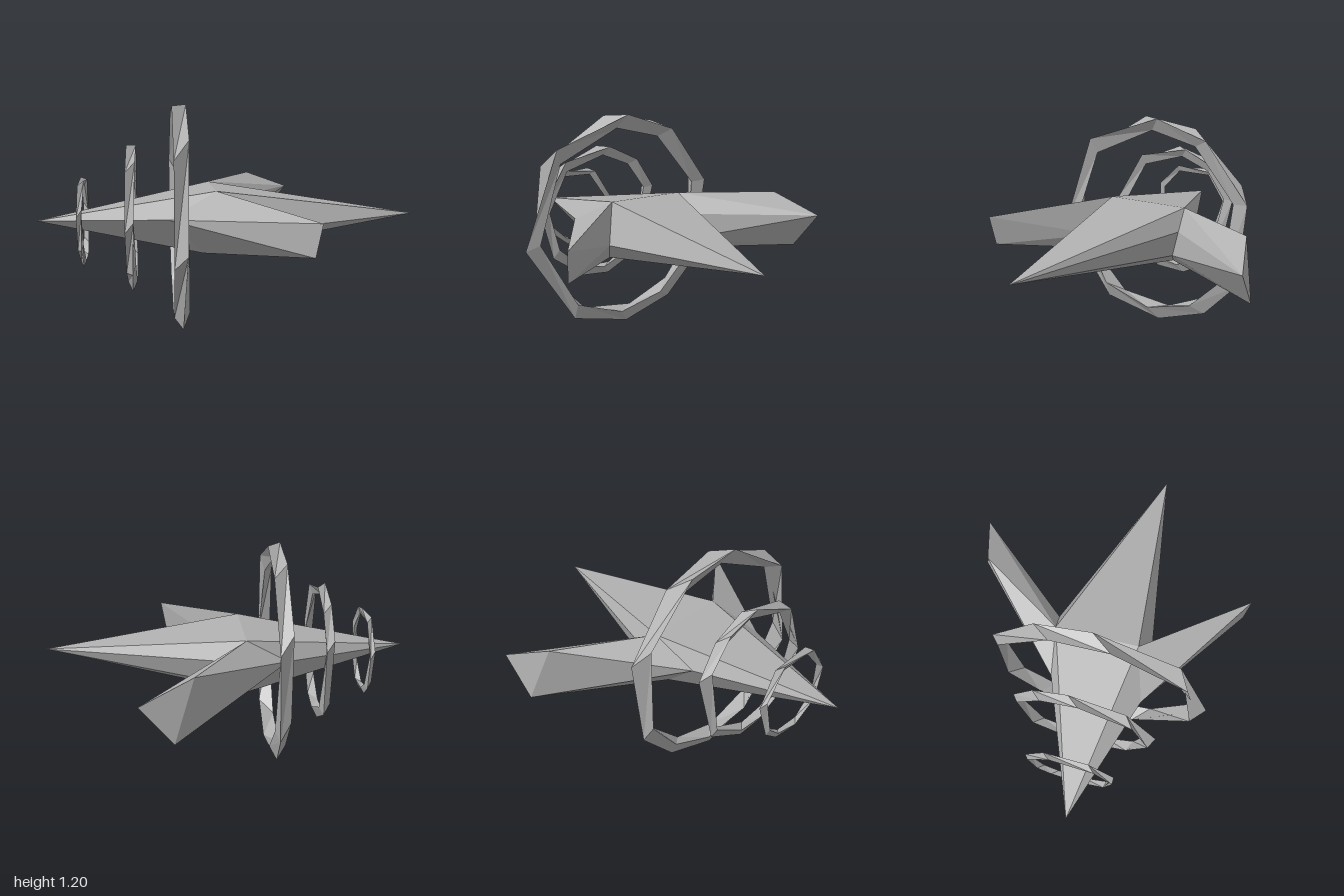
import * as THREE from 'three';

const V = (x, y, z) => new THREE.Vector3(x, y, z);
const grey = new THREE.MeshStandardMaterial({ color: 0xb0b0b0 });
grey.name = 'plainGrey';

// Adds a triangle turned away from an inner point
function addFace(out, [a, b, c], inside) {
  const n = b.clone().sub(a).cross(c.clone().sub(a));
  const mid = a.clone().add(b).add(c).divideScalar(3).sub(inside);
  out.push(...(n.dot(mid) >= 0 ? [a, b, c] : [a, c, b]));
}

// Faceted mesh from a list of loose triangle corners
function facetMesh(name, points) {
  const geo = new THREE.BufferGeometry().setFromPoints(points);
  geo.computeVertexNormals();
  const mesh = new THREE.Mesh(geo, grey);
  mesh.name = name;
  return mesh;
}

function shell(name, inside, faces) {
  const out = [];
  faces.forEach((f) => addFace(out, f, inside));
  return facetMesh(name, out);
}

// Angular hoop: a slowly twisting triangular section joined through uneven stations
function hoop(name, { x, y, z, radius, halfWidth, depth, lean, angles }) {
  const sections = angles.map((deg) => {
    const a = THREE.MathUtils.degToRad(deg);
    const twist = THREE.MathUtils.degToRad(30 + 30 * Math.sin(a));
    return [0, 1, 2].map((j) => {
      const p = twist + (j * Math.PI * 2) / 3;
      const r = radius + depth * Math.cos(p);
      const b = a - lean * Math.sin(p);
      return V(x + halfWidth * Math.sin(p), y + r * Math.sin(b), z - r * Math.cos(b));
    });
  });
  const out = [];
  sections.forEach((s, i) => {
    const t = sections[(i + 1) % sections.length];
    for (let j = 0; j < 3; j++) {
      const k = (j + 1) % 3;
      out.push(s[j], s[k], t[k], s[j], t[k], t[j]);
    }
  });
  return facetMesh(name, out);
}

export function createModel() {
  const group = new THREE.Group();
  group.name = 'spikedCraft';

  // Shared corners around the middle of the body
  const nose = V(-1, 0.61, 0.13), tail = V(1, 0.622, 0.135);
  const topF = V(-0.07, 0.77, 0.247), topB = V(-0.085, 0.763, -0.2);
  const lowF = V(-0.136, 0.443, 0.226), lowB = V(-0.1, 0.447, -0.127);
  const sideF = V(-0.32, 0.64, 0.334), sideB = V(-0.31, 0.63, -0.163);
  const rearF = V(0.005, 0.557, 0.313);
  const rearB = V(0.015, 0.656, -0.215), rearLowB = V(0, 0.512, -0.173);

  // Body: two long points meeting at the middle
  const fan = (tip, loop) => loop.slice(0, -1).map((p, i) => [tip, p, loop[i + 1]]);
  const core = V(-0.1, 0.6, 0.06);
  group.add(shell('body', core, [
    ...fan(nose, [topF, sideF, lowF, lowB, sideB, topB, topF]),
    ...fan(tail, [topF, topB, rearB, rearLowB, lowB, lowF, rearF, topF]),
  ]));

  // Front wing, ending in a sharp upright edge
  const tipTop = V(0.375, 0.689, 0.768), tipLow = V(0.345, 0.525, 0.753);
  group.add(shell('frontWing', V(0, 0.6, 0.42), [
    [topF, rearF, tipTop],
    [rearF, lowF, tipLow], [rearF, tipLow, tipTop],
    [topF, tipTop, sideF],
    [sideF, tipTop, tipLow],
    [sideF, tipLow, lowF],
  ]));

  // Back wing, ending in a cut-off triangle
  const endTop = V(0.195, 0.758, -0.675);
  const endRear = V(0.455, 0.656, -0.767), endLow = V(0.292, 0.455, -0.75);
  group.add(shell('backWing', V(0.1, 0.62, -0.45), [
    [topB, rearB, endRear], [topB, endRear, endTop],
    [rearB, rearLowB, endRear], [rearLowB, endLow, endRear],
    [rearLowB, lowB, endLow],
    [sideB, topB, endTop],
    [sideB, endTop, endLow],
    [sideB, endLow, lowB],
    [endTop, endRear, endLow],
  ]));

  // Three floating hoops, shrinking toward the nose
  group.add(
    hoop('largeHoop', {
      x: -0.253, y: 0.615, z: 0.077, radius: 0.565, halfWidth: 0.045, depth: 0.05, lean: 0.11,
      angles: [138, 92, 61, 20, -29, -57, -87, -120, -169],
    }),
    hoop('middleHoop', {
      x: -0.505, y: 0.615, z: 0.067, radius: 0.363, halfWidth: 0.029, depth: 0.035, lean: 0.1,
      angles: [130, 84, 52, 20, -43, -82, -107, -141, 178],
    }),
    hoop('smallHoop', {
      x: -0.76, y: 0.603, z: 0.08, radius: 0.228, halfWidth: 0.018, depth: 0.022, lean: 0.1,
      angles: [118, 60, 10, -40, -65, -104, -150, 162],
    }),
  );
  return group;
}
